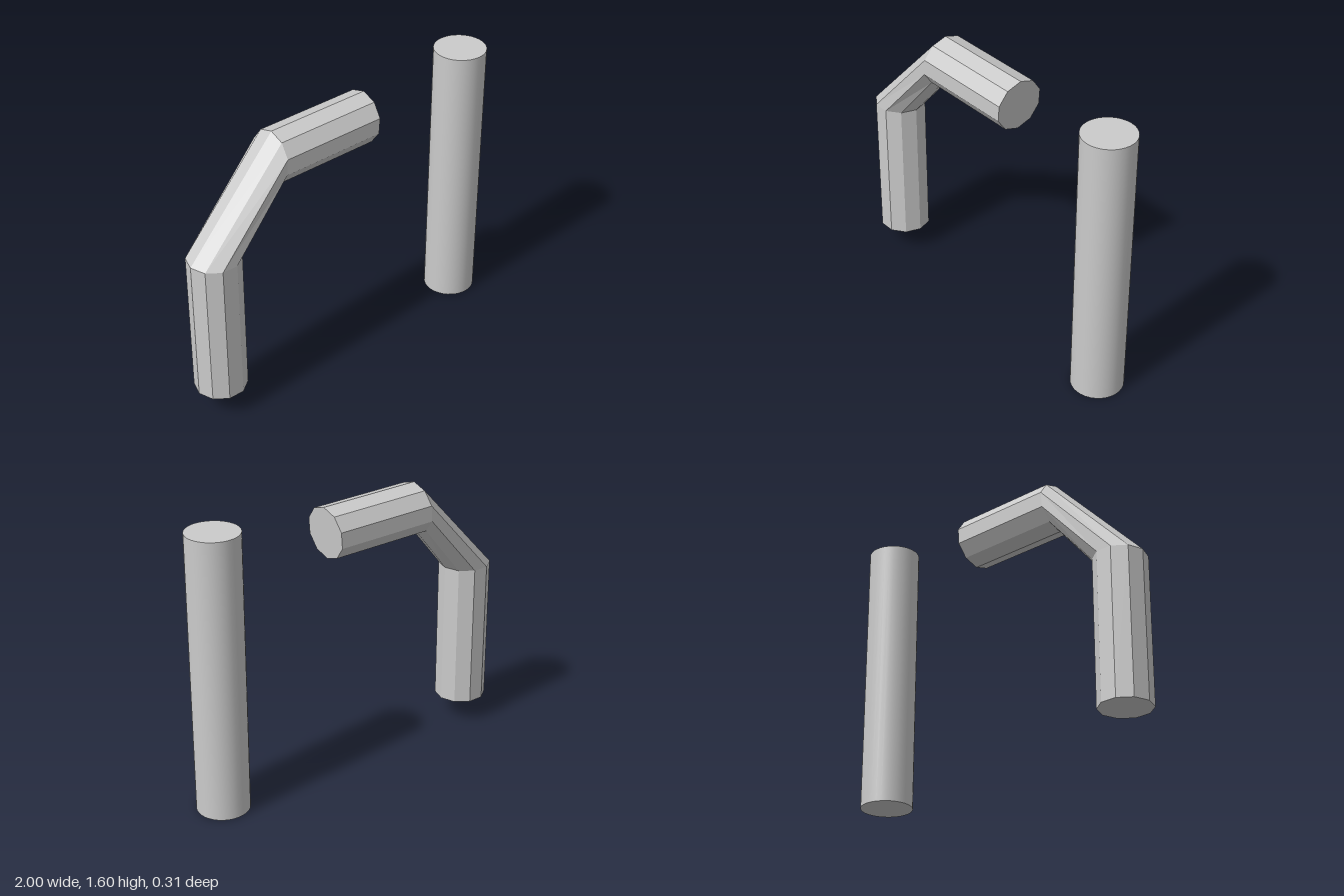
import * as THREE from 'three';

const RADIUS = 0.147;
const SIDES = 10;

// Lofts ten-sided rings along the pipe; each ring has a centre and an outward axis for its first corner.
function loftPipe(rings) {
  const positions = [];
  const index = [];
  for (const { center, outward } of rings) {
    for (let i = 0; i < SIDES; i++) {
      const a = (i / SIDES) * Math.PI * 2;
      const c = Math.cos(a) * RADIUS;
      positions.push(
        center[0] + outward[0] * c,
        center[1] + outward[1] * c,
        center[2] + Math.sin(a) * RADIUS
      );
    }
  }
  // Side walls
  for (let r = 0; r < rings.length - 1; r++) {
    for (let i = 0; i < SIDES; i++) {
      const a = r * SIDES + i;
      const b = r * SIDES + ((i + 1) % SIDES);
      index.push(a, b, b + SIDES, a, b + SIDES, a + SIDES);
    }
  }
  // End caps
  const last = (rings.length - 1) * SIDES;
  for (let i = 1; i < SIDES - 1; i++) {
    index.push(0, i + 1, i, last, last + i, last + i + 1);
  }
  const geometry = new THREE.BufferGeometry();
  geometry.setAttribute('position', new THREE.Float32BufferAttribute(positions, 3));
  geometry.setIndex(index);
  const flat = geometry.toNonIndexed();
  flat.computeVertexNormals();
  return flat;
}

export function createModel() {
  const model = new THREE.Group();
  model.name = 'pipes';

  // Bent pipe: upright leg, diagonal elbow, slightly tilted horizontal arm
  const tilted = [0.07, 0.9975];
  const bentPipe = new THREE.Mesh(
    loftPipe([
      { center: [-0.853, 0.14, 0.003], outward: [-1, 0] },
      { center: [-0.853, 0.982, 0.003], outward: [-1, 0] },
      { center: [-0.455, 1.419, -0.016], outward: tilted },
      { center: [0.164, 1.419, -0.016], outward: tilted },
    ]),
    new THREE.MeshStandardMaterial({ color: 0xcccccc, flatShading: true })
  );
  bentPipe.name = 'bentPipe';
  model.add(bentPipe);

  // Straight round post
  const post = new THREE.Mesh(
    new THREE.CylinderGeometry(RADIUS, RADIUS, 1.595, 32),
    new THREE.MeshStandardMaterial({ color: 0xcccccc })
  );
  post.name = 'straightPost';
  post.position.set(0.853, 0.7975, 0.006);
  model.add(post);

  return model;
}
